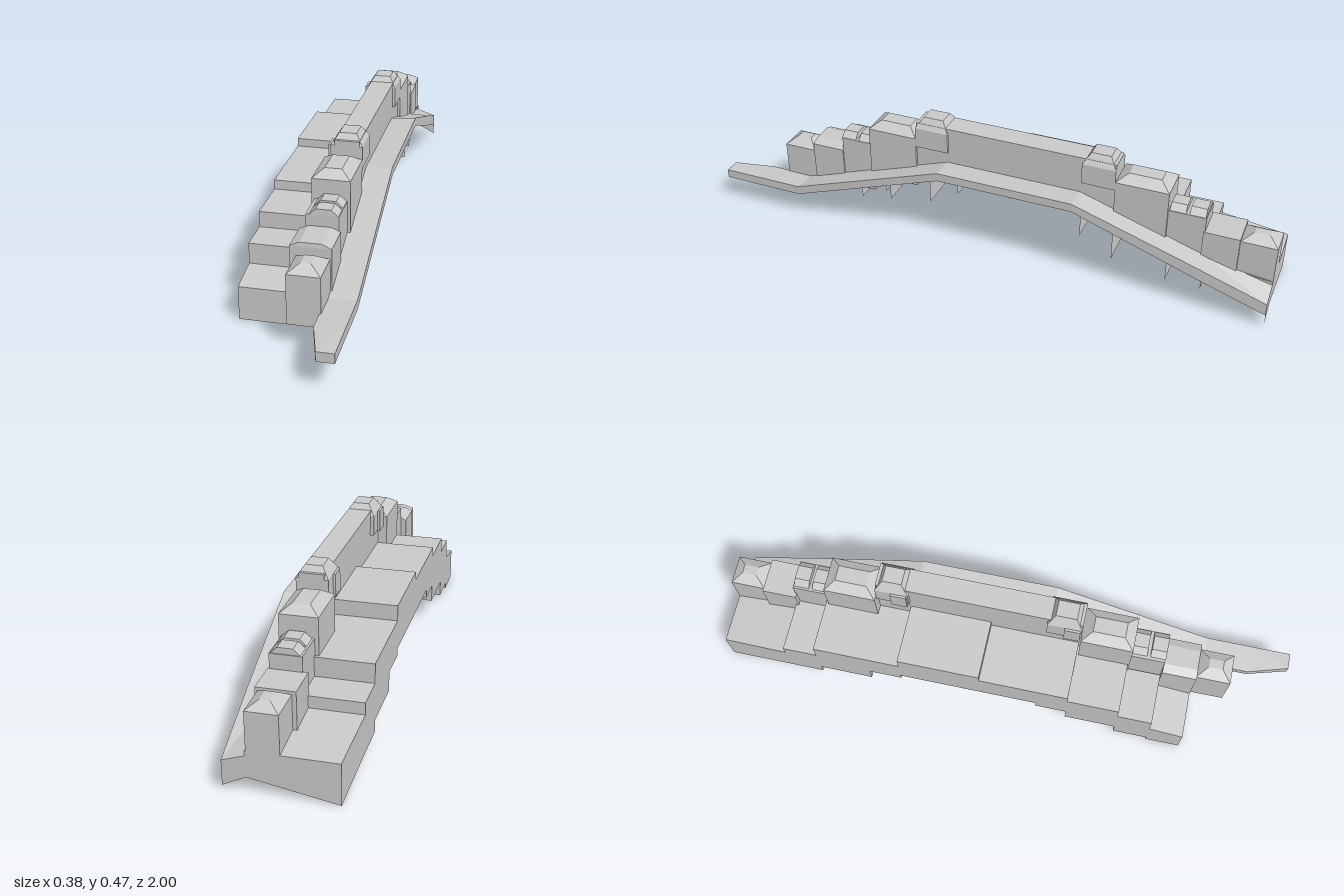
import * as THREE from 'three';

export function createModel() {
  const model = new THREE.Group();
  model.name = 'steppedWallWalk';
  const stone = new THREE.MeshStandardMaterial({ color: 0xcacaca, flatShading: true, side: THREE.DoubleSide });
  stone.name = 'grey stone';

  function add(name, geometry, parent = model) {
    const mesh = new THREE.Mesh(geometry, stone);
    mesh.name = name;
    parent.add(mesh);
    return mesh;
  }

  // Open surface made from four-cornered faces
  function faces(quads) {
    const pos = [];
    for (const [a, b, c, d] of quads) pos.push(...a, ...b, ...c, ...a, ...c, ...d);
    const g = new THREE.BufferGeometry();
    g.setAttribute('position', new THREE.Float32BufferAttribute(pos, 3));
    g.computeVertexNormals();
    return g;
  }

  // Box between limits, with its top drawn in to form a hipped cap
  function block(x0, x1, y0, y1, z0, z1, insetX = 0, insetZ = 0) {
    const w = x1 - x0, h = y1 - y0, d = Math.abs(z1 - z0);
    const g = new THREE.BoxGeometry(w, h, d);
    const p = g.attributes.position;
    for (let i = 0; i < p.count; i++) {
      if (p.getY(i) > 0) {
        p.setX(i, p.getX(i) * (1 - 2 * insetX / w));
        p.setZ(i, p.getZ(i) * (1 - 2 * insetZ / d));
      }
    }
    g.translate((x0 + x1) / 2, (y0 + y1) / 2, (z0 + z1) / 2);
    g.computeVertexNormals();
    return g;
  }

  // Hollow steps, open underneath: front z, back z, bottoms, tops, inner x
  const steps = new THREE.Group();
  steps.name = 'steps';
  model.add(steps);
  const stepRows = [
    [0.67, 0.55, 0, 0, 0.113, 0.132, -0.01],
    [0.55, 0.43, 0.02, 0.02, 0.202, 0.202, -0.01],
    [0.43, 0.25, 0.075, 0.075, 0.256, 0.256, 0.022],
    [0.25, 0.14, 0.135, 0.135, 0.289, 0.289, 0.022],
    [0.14, -0.06, 0.165, 0.165, 0.289, 0.289, 0.022],
    [-0.06, -0.345, 0.165, 0.165, 0.318, 0.318, 0.022],
    [-0.345, -0.46, 0.14, 0.14, 0.265, 0.265, 0.1],
    [-0.46, -0.65, 0.075, 0.075, 0.265, 0.265, 0.1],
    [-0.65, -0.77, 0.035, 0.035, 0.2, 0.2, 0.1],
    [-0.77, -1, 0.035, 0, 0.16, 0.135, 0.1],
  ];
  for (const [zf, zb, bf, bb, tf, tb, xi] of stepRows) {
    const last = zb === -1;
    const xo = -0.19, xb = last ? -0.18 : xo;
    const innerBottom = last ? 0.05 : bb; // the end face rises towards the ramp
    add('step', faces([
      [[xo, tf, zf], [xi, tf, zf], [xi, tb, zb], [xb, tb, zb]],
      [[xb, bb, zb], [xo, bf, zf], [xo, tf, zf], [xb, tb, zb]],
      [[xo, bf, zf], [xi, bf, zf], [xi, tf, zf], [xo, tf, zf]],
      [[xi, innerBottom, zb], [xb, bb, zb], [xb, tb, zb], [xi, tb, zb]],
    ]), steps);
  }

  // Wall sections: x range, z range, bottom, eaves, roof peak, roof insets
  const wall = new THREE.Group();
  wall.name = 'wall';
  model.add(wall);
  const sections = [
    ['endTower', -0.005, 0.1, 0.79, 0.67, 0.075, 0.24, 0.265, 0.037, 0.035],
    ['lowTower', -0.025, 0.105, 0.67, 0.55, 0.11, 0.272, 0.285, 0.03, 0.002],
    ['linkWall', -0.005, 0.1, 0.55, 0.43, 0.13, 0.322, 0.322, 0, 0],
    ['tallTower', -0.015, 0.11, 0.435, 0.255, 0.2, 0.39, 0.415, 0.035, 0.035],
    ['centreWall', 0.018, 0.1, 0.255, -0.46, 0.25, 0.45, 0.45, 0, 0],
    ['tallTower', -0.015, 0.11, -0.46, -0.64, 0.2, 0.39, 0.415, 0.035, 0.035],
    ['linkWall', -0.002, 0.1, -0.64, -0.765, 0.13, 0.322, 0.322, 0, 0],
    ['lowTower', -0.018, 0.105, -0.76, -0.88, 0.12, 0.272, 0.272, 0, 0],
    ['endTower', -0.005, 0.096, -0.88, -1, 0.06, 0.262, 0.285, 0.035, 0.035],
  ];
  for (const [name, x0, x1, z0, z1, y0, eaves, peak, ix, iz] of sections) {
    add(name, block(x0, x1, y0, eaves, z0, z1), wall);
    if (peak > eaves) add(name + 'Roof', block(x0, x1, eaves, peak, z0, z1, ix, iz), wall);
  }

  // Capped turrets at both ends of the centre wall, each with a small side box
  for (const [z0, z1] of [[0.255, 0.135], [-0.345, -0.46]]) {
    add('turret', block(0.005, 0.11, 0.36, 0.433, z0, z1), wall);
    add('turretCap', block(0.005, 0.11, 0.433, 0.47, z0, z1, 0.024, 0.024), wall);
    add('turretSideBox', block(-0.003, 0.02, 0.355, 0.432, z0 - 0.005, z0 - 0.06), wall);
  }

  // Small ridge stones on the link walls
  for (const z of [0.525, 0.46, -0.67, -0.735]) {
    add('ridgeStone', block(0.005, 0.098, 0.322, 0.342, z + 0.027, z - 0.027, 0.022, 0.001), wall);
  }

  // Side ramp: z, inner x, outer x, inner top, outer top, skirt bottom
  const ramp = [
    [1, 0.135, 0.19, 0.13, 0.13, 0.098],
    [0.86, 0.095, 0.19, 0.122, 0.13, 0.098],
    [0.7, 0.095, 0.19, 0.122, 0.13, 0.098],
    [0.14, 0.1, 0.19, 0.318, 0.325, 0.295],
    [-0.34, 0.1, 0.19, 0.318, 0.325, 0.295],
    [-0.77, 0.1, 0.178, 0.18, 0.178, 0.135],
    [-1, 0.097, 0.17, 0.12, 0.095, 0.052],
  ];
  const rampFaces = [];
  for (let i = 0; i < ramp.length - 1; i++) {
    const [za, ia, oa, ta, ua, ba] = ramp[i];
    const [zb, ib, ob, tb, ub, bb] = ramp[i + 1];
    rampFaces.push(
      [[ia, ta, za], [oa, ua, za], [ob, ub, zb], [ib, tb, zb]],
      [[oa, ba, za], [ob, bb, zb], [ob, ub, zb], [oa, ua, za]],
      [[ib, bb, zb], [ia, ba, za], [ia, ta, za], [ib, tb, zb]],
    );
  }
  rampFaces.push([[0.135, 0.098, 1], [0.19, 0.098, 1], [0.19, 0.13, 1], [0.135, 0.13, 1]]);
  add('ramp', faces(rampFaces));

  // Upright flap closing the back end of the ramp
  add('rampEnd', faces([
    [[0.17, 0.013, -1], [0.097, 0.05, -1], [0.097, 0.12, -1], [0.17, 0.095, -1]],
  ]));

  return model;
}
